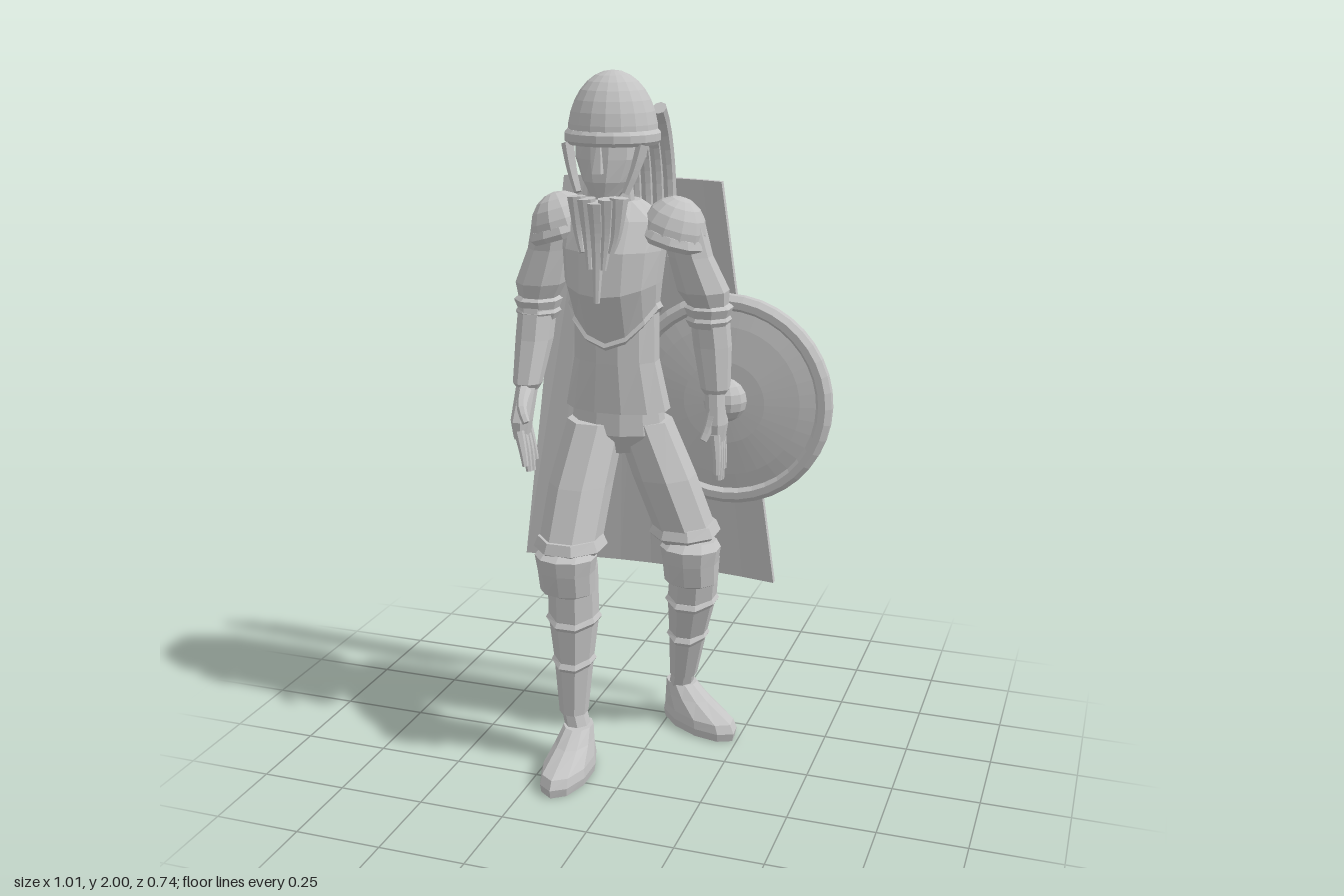
import * as THREE from 'three';

const steel = new THREE.MeshStandardMaterial({ color: 0xc4c4c4 });
steel.name = 'plainGrey';
steel.flatShading = true;
steel.side = THREE.DoubleSide;

function part(parent, name, geometry) {
  const mesh = new THREE.Mesh(geometry, steel);
  mesh.name = name;
  parent.add(mesh);
  return mesh;
}

// Closed skin over stacked elliptical rings [x, y, z, rx, rz, dip at front and back]
function loft(rings, sides = 10) {
  const list = rings[0][1] > rings[rings.length - 1][1] ? [...rings].reverse() : rings;
  const pos = [], index = [];
  for (const [x, y, z, rx, rz, dip = 0] of list) {
    for (let i = 0; i < sides; i++) {
      const a = ((i + 0.5) / sides) * Math.PI * 2, s = Math.sin(a);
      pos.push(x + Math.cos(a) * rx, y - dip * s * s, z + s * rz);
    }
  }
  const last = list.length - 1;
  for (let r = 0; r < last; r++) {
    for (let i = 0; i < sides; i++) {
      const j = (i + 1) % sides, a = r * sides, b = a + sides;
      index.push(a + i, b + i, a + j, a + j, b + i, b + j);
    }
  }
  for (let i = 1; i < sides - 1; i++) {
    const t = last * sides;
    index.push(0, i, i + 1, t, t + i + 1, t + i);
  }
  const g = new THREE.BufferGeometry();
  g.setAttribute('position', new THREE.Float32BufferAttribute(pos, 3));
  g.setIndex(index);
  g.computeVertexNormals();
  return g;
}

// Tapered tube with closed ends
function strand(points, r0, r1, segs = 12, sides = 8) {
  const curve = new THREE.CatmullRomCurve3(points.map(p => new THREE.Vector3(...p)));
  const g = new THREE.TubeGeometry(curve, segs, 1, sides);
  const p = g.attributes.position, v = new THREE.Vector3();
  for (let k = 0; k < p.count; k++) {
    const i = Math.floor(k / (sides + 1));
    const c = curve.getPointAt(i / segs);
    const end = i === 0 || i === segs;
    const at = end ? curve.getPointAt((i === 0 ? 1 : segs - 1) / segs) : c;
    v.fromBufferAttribute(p, k).sub(c).multiplyScalar(end ? 0 : r0 + (r1 - r0) * i / segs).add(at);
    p.setXYZ(k, v.x, v.y, v.z);
  }
  g.computeVertexNormals();
  return g;
}

const CX = -0.097; // body centre line

function buildHead(root) {
  const head = new THREE.Group();
  head.name = 'head';
  root.add(head);
  part(head, 'face', loft([[CX, 1.67, 0.045, 0.04, 0.04], [CX, 1.71, 0.015, 0.072, 0.082],
    [CX, 1.77, 0, 0.097, 0.095], [CX, 1.85, -0.01, 0.1, 0.1]], 12));
  part(head, 'neck', loft([[CX, 1.58, -0.04, 0.06, 0.055], [CX, 1.74, -0.015, 0.05, 0.05]]));
  part(head, 'nose', loft([[CX, 1.735, 0.1, 0.018, 0.022], [CX, 1.81, 0.09, 0.007, 0.012]], 4));
  const dome = part(head, 'helmetDome', new THREE.SphereGeometry(1, 18, 8, 0, Math.PI * 2, 0, Math.PI / 2));
  dome.scale.set(0.124, 0.175, 0.125);
  dome.position.set(CX, 1.825, -0.018);
  part(head, 'helmetBand', loft([[CX, 1.805, -0.016, 0.126, 0.122], [CX, 1.815, -0.016, 0.133, 0.13],
    [CX, 1.835, -0.016, 0.133, 0.13], [CX, 1.845, -0.016, 0.124, 0.122]], 18));
  for (const s of [-1, 1]) {
    part(head, 'cheekStrap', strand([[CX + s * 0.112, 1.83, 0.04], [CX + s * 0.09, 1.74, 0.06],
      [CX + s * 0.06, 1.66, 0.08]], 0.02, 0.01, 8, 5));
  }
  // Beard locks, longest in the middle
  for (let i = -2; i <= 2; i++) {
    const a = Math.abs(i);
    part(head, 'beardLock', strand([[CX + i * 0.031, 1.69, 0.123 - a * 0.008],
      [CX + i * 0.026, 1.57, 0.11], [CX + i * 0.018, [1.36, 1.46, 1.51][a], 0.122]], 0.029, 0.007));
  }
  // Long braids hanging from the helmet
  for (let i = 0; i < 8; i++) {
    const x = CX + 0.115 * (i / 3.5 - 1), outer = i === 0 || i === 7;
    const top = outer ? [[x, 1.93, -0.04], [x, 1.85, -0.11]] : [[x, 1.85, -0.1], [x, 1.8, -0.135]];
    part(head, 'braid', strand([...top, [x, 1.72, -0.16], [x, 1.6, -0.172], [x, 1.43, -0.16]], 0.021, 0.017));
  }
}

function buildTorso(root) {
  part(root, 'tunic', loft([[CX, 1.055, -0.05, 0.155, 0.095], [CX, 1.2, -0.04, 0.125, 0.088],
    [CX, 1.4, -0.04, 0.122, 0.09]], 12));
  part(root, 'breastplate', loft([[CX, 1.36, -0.03, 0.128, 0.085, 0.11], [CX, 1.43, -0.015, 0.138, 0.128, 0.03],
    [CX, 1.52, -0.025, 0.148, 0.125], [CX, 1.6, -0.05, 0.15, 0.1], [CX, 1.65, -0.05, 0.07, 0.06]], 14));
  part(root, 'breastplateTrim', loft([[CX, 1.35, -0.03, 0.128, 0.084, 0.11], [CX, 1.36, -0.03, 0.138, 0.095, 0.11],
    [CX, 1.375, -0.03, 0.13, 0.088, 0.11]], 14));
  part(root, 'hips', loft([[CX, 0.93, -0.06, 0.09, 0.07], [CX, 0.99, -0.055, 0.14, 0.1],
    [CX, 1.1, -0.05, 0.128, 0.088]], 12));
  for (const s of [-1, 1]) {
    const pad = new THREE.Group();
    pad.name = 'shoulderPad';
    pad.position.set(CX + s * 0.158, 1.555, -0.055);
    pad.rotation.z = -s * 0.3;
    root.add(pad);
    const cap = part(pad, 'padDome', new THREE.SphereGeometry(1, 12, 5, 0, Math.PI * 2, 0, Math.PI / 2));
    cap.scale.set(0.095, 0.11, 0.1);
    part(pad, 'padRim', loft([[0, -0.02, 0, 0.098, 0.1], [0, -0.005, 0, 0.106, 0.108], [0, 0.015, 0, 0.094, 0.1]], 12));
  }
}

// Arm along the centres: shoulder, bicep, elbow flare, elbow, forearm, wrist
function buildArm(root, name, c, palm, tip, spread, thumb) {
  const arm = new THREE.Group();
  arm.name = name;
  root.add(arm);
  const ring = (i, rx, rz, dy = 0) => [c[i][0], c[i][1] + dy, c[i][2], rx, rz];
  part(arm, 'upperArm', loft([ring(0, 0.06, 0.07), ring(1, 0.062, 0.066), ring(2, 0.073, 0.078), ring(3, 0.055, 0.06)], 8));
  part(arm, 'elbowCuff', loft([ring(3, 0.058, 0.062, 0.01), ring(3, 0.07, 0.073), ring(3, 0.06, 0.062, -0.025),
    ring(3, 0.066, 0.069, -0.035), ring(3, 0.055, 0.057, -0.055)], 8));
  part(arm, 'forearm', loft([ring(3, 0.056, 0.06), ring(4, 0.055, 0.054), ring(5, 0.043, 0.042), ring(5, 0.03, 0.03, -0.02)], 8));
  part(arm, 'palm', loft([[...c[5], 0.032, 0.032], [...palm, 0.03, spread * 2.2],
    [palm[0], palm[1] - 0.05, palm[2], 0.022, spread * 2]], 8));
  for (let i = 0; i < 4; i++) {
    const o = (i - 1.5) * spread, drop = [0.03, 0, 0.005, 0.03][i];
    part(arm, 'finger', strand([[palm[0], palm[1] - 0.01, palm[2] + o],
      [(palm[0] + tip[0]) / 2 + 0.004, (palm[1] + tip[1]) / 2, (palm[2] + tip[2]) / 2 + o * 1.2],
      [tip[0], tip[1] + drop, tip[2] + o * 1.3]], 0.016, 0.008, 8, 6));
  }
  part(arm, 'thumb', strand([[palm[0], c[5][1] - 0.01, c[5][2] + 0.01],
    [(palm[0] + thumb[0]) / 2, thumb[1] + 0.05, thumb[2] - 0.025], thumb], 0.02, 0.01, 8, 6));
}

// Leg along the centres: hip, mid thigh, trouser hem, knee, calf, shin, ankle
function buildLeg(root, name, c, footAt, turn) {
  const leg = new THREE.Group();
  leg.name = name;
  root.add(leg);
  const ring = (i, rx, rz, dy = 0, dz = 0) => [c[i][0], c[i][1] + dy, c[i][2] + dz, rx, rz];
  part(leg, 'trouserLeg', loft([ring(0, 0.085, 0.09), ring(1, 0.092, 0.1), ring(2, 0.09, 0.1), ring(2, 0.07, 0.075, -0.03)], 8));
  part(leg, 'trouserHem', loft([ring(2, 0.092, 0.102, 0.02), ring(2, 0.105, 0.113, -0.01), ring(2, 0.085, 0.09, -0.03)], 8));
  part(leg, 'greave', loft([ring(2, 0.07, 0.075, -0.02), ring(3, 0.073, 0.072), ring(4, 0.074, 0.07),
    ring(5, 0.058, 0.057), ring(6, 0.042, 0.045)], 8));
  part(leg, 'kneePad', loft([ring(3, 0.055, 0.05, -0.07, 0.03), ring(3, 0.08, 0.07, -0.055, 0.04),
    ring(3, 0.083, 0.075, 0.01, 0.05), ring(3, 0.09, 0.08, 0.055, 0.052), ring(3, 0.075, 0.06, 0.075, 0.04)], 10));
  for (const [i, rx, rz] of [[4, 0.074, 0.07], [5, 0.058, 0.057]]) {
    part(leg, 'greaveBand', loft([[...ring(i, rx, rz, -0.012), 0.02], [...ring(i, rx + 0.008, rz + 0.01), 0.02],
      [...ring(i, rx, rz, 0.014), 0.02]], 8));
  }
  const foot = new THREE.Group();
  foot.name = 'foot';
  foot.position.set(footAt[0], 0, footAt[1]);
  foot.rotation.y = turn;
  leg.add(foot);
  part(foot, 'shoe', loft([[0, 0, 0.09, 0.066, 0.145], [0, 0.025, 0.09, 0.07, 0.15], [0, 0.05, 0.085, 0.066, 0.14],
    [0, 0.09, 0.035, 0.053, 0.085], [0, 0.125, 0.005, 0.043, 0.052]], 10));
  part(leg, 'ankle', loft([[footAt[0], 0.1, footAt[1], 0.038, 0.042], ring(6, 0.036, 0.04, 0.01)], 8));
}

function buildShield(root) {
  const shield = new THREE.Group();
  shield.name = 'roundShield';
  shield.position.set(0.192, 1.066, -0.175);
  root.add(shield);
  const profile = [[0, -0.048], [0.12, -0.042], [0.22, -0.026], [0.265, -0.014], [0.275, -0.028], [0.295, -0.028],
    [0.31, -0.012], [0.31, 0.012], [0.295, 0.028], [0.275, 0.028], [0.265, 0.012], [0.22, 0.022], [0.12, 0.035], [0, 0.04]];
  part(shield, 'shieldDisc', new THREE.LatheGeometry(profile.map(p => new THREE.Vector2(...p)), 40)).rotation.x = Math.PI / 2;
  const boss = part(shield, 'shieldBoss', new THREE.SphereGeometry(0.065, 12, 8));
  boss.position.set(0.005, 0.01, 0.035);
}

// Curved slab hanging behind the body, wider at the hem
function buildCape(root) {
  const g = new THREE.BoxGeometry(1, 1, 1, 8, 1, 1);
  const p = g.attributes.position;
  for (let i = 0; i < p.count; i++) {
    const u = p.getX(i) * 2, v = 0.5 - p.getY(i);
    p.setXYZ(i, CX + u * (0.24 + 0.168 * v), 1.68 - 1.22 * v, -0.311 - 0.05 * v + 0.043 * u * u + p.getZ(i) * 0.02);
  }
  g.computeVertexNormals();
  part(root, 'cape', g);
}

export function createModel() {
  const root = new THREE.Group();
  root.name = 'warrior';
  buildHead(root);
  buildTorso(root);
  buildArm(root, 'rightArm', [[-0.285, 1.6, -0.055], [-0.305, 1.5, -0.06], [-0.335, 1.4, -0.065], [-0.345, 1.35, -0.065],
    [-0.347, 1.24, -0.035], [-0.35, 1.12, 0.015]], [-0.352, 1.02, 0.06], [-0.318, 0.85, 0.075], 0.02, [-0.29, 1.02, 0.155]);
  buildArm(root, 'leftArm', [[0.09, 1.6, -0.055], [0.112, 1.5, -0.065], [0.143, 1.4, -0.09], [0.155, 1.35, -0.105],
    [0.167, 1.24, -0.105], [0.18, 1.12, -0.095]], [0.19, 1.02, -0.085], [0.203, 0.83, -0.075], 0.018, [0.155, 0.96, -0.03]);
  buildLeg(root, 'rightLeg', [[-0.155, 1.02, -0.03], [-0.175, 0.85, 0.05], [-0.183, 0.69, 0.12], [-0.18, 0.61, 0.115],
    [-0.178, 0.46, 0.115], [-0.177, 0.33, 0.12], [-0.178, 0.16, 0.125]], [-0.16, 0.13], 0);
  buildLeg(root, 'leftLeg', [[-0.03, 1.02, -0.07], [0.03, 0.85, -0.09], [0.085, 0.68, -0.12], [0.115, 0.585, -0.13],
    [0.1, 0.45, -0.15], [0.078, 0.32, -0.185], [0.052, 0.16, -0.225]], [0.035, -0.25], 1.04);
  buildShield(root);
  buildCape(root);
  return root;
}
